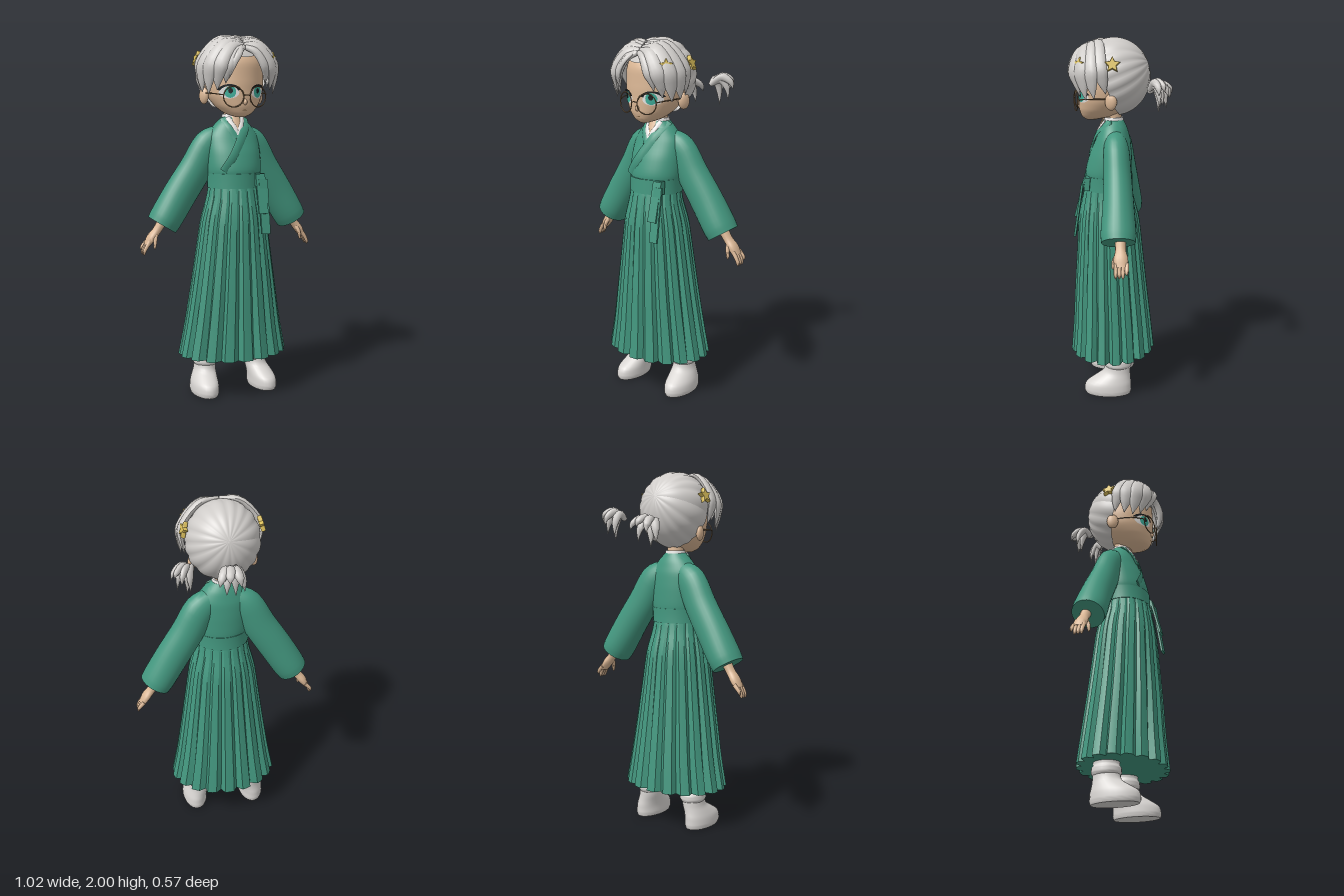
import * as THREE from 'three';
import { toCreasedNormals } from 'three/addons/utils/BufferGeometryUtils.js';

const mat = (name, color) => new THREE.MeshStandardMaterial({ name, color, side: THREE.DoubleSide });
const M = {
  cloth: mat('teal cloth', 0x43977f), hair: mat('silver hair', 0xcfccc9), skin: mat('skin', 0xdcb896),
  boot: mat('pale boot', 0xd8d5d2), white: mat('white', 0xeeecea), gold: mat('gold', 0xdcc05c),
  frame: mat('glasses frame', 0x8f7250), iris: mat('teal iris', 0x3fb09c), dark: mat('dark', 0x1c1f22),
};
const HEAD = new THREE.Vector3(0, 1.78, 0.04);

// Smoothly resample sections [x, y, z, ru, rv]
function resample(secs, n) {
  const pos = new THREE.CatmullRomCurve3(secs.map(s => new THREE.Vector3(s[0], s[1], s[2])));
  const rad = new THREE.CatmullRomCurve3(secs.map(s => new THREE.Vector3(s[3], s[4], 0)));
  return Array.from({ length: n + 1 }, (_, i) => {
    const p = pos.getPoint(i / n), r = rad.getPoint(i / n);
    return { p, ru: Math.max(r.x, 0.0008), rv: Math.max(r.y, 0.0008) };
  });
}

// Skin elliptical rings. 'level' keeps rings horizontal (ru = z, rv = x); otherwise ru follows ref.
function loft(rows, { segs = 24, ref = 'level', shape = () => 1, crease = 0.9 } = {}) {
  const v = [], idx = [], n = rows.length;
  rows.forEach((row, i) => {
    let U = new THREE.Vector3(0, 0, 1), V = new THREE.Vector3(1, 0, 0);
    if (ref !== 'level') {
      const T = rows[Math.min(i + 1, n - 1)].p.clone().sub(rows[Math.max(i - 1, 0)].p).normalize();
      U = ref(row.p).clone();
      U.addScaledVector(T, -U.dot(T)).normalize();
      V = T.clone().cross(U);
    }
    for (let j = 0; j < segs; j++) {
      const a = j / segs * Math.PI * 2, k = shape(j, i / (n - 1));
      const q = row.p.clone().addScaledVector(U, Math.cos(a) * row.ru * k).addScaledVector(V, Math.sin(a) * row.rv * k);
      v.push(q.x, q.y, q.z);
    }
  });
  for (let i = 0; i < n - 1; i++) for (let j = 0; j < segs; j++) {
    const a = i * segs + j, b = i * segs + (j + 1) % segs;
    idx.push(a, b, a + segs, b, b + segs, a + segs);
  }
  const c0 = n * segs, last = (n - 1) * segs;
  v.push(...rows[0].p.toArray(), ...rows[n - 1].p.toArray());
  for (let j = 0; j < segs; j++) {
    const k = (j + 1) % segs;
    idx.push(c0, k, j, c0 + 1, last + j, last + k);
  }
  const g = new THREE.BufferGeometry();
  g.setAttribute('position', new THREE.Float32BufferAttribute(v, 3));
  g.setIndex(idx);
  return toCreasedNormals(g, crease);
}

// Front surface height of a level loft
function frontZ(rows, x, y) {
  let i = 0;
  while (i < rows.length - 2 && rows[i + 1].p.y < y) i++;
  const a = rows[i], b = rows[i + 1], t = THREE.MathUtils.clamp((y - a.p.y) / (b.p.y - a.p.y), 0, 1);
  const mix = (p, q) => p + (q - p) * t;
  return mix(a.p.z, b.p.z) + mix(a.ru, b.ru) * Math.sqrt(Math.max(0, 1 - (x / mix(a.rv, b.rv)) ** 2));
}

export function createModel() {
  const root = new THREE.Group();
  root.name = 'robedFigure';
  const add = (name, geo, material, parent = root) => {
    const m = new THREE.Mesh(geo, material);
    m.name = name;
    parent.add(m);
    return m;
  };
  const level = (name, secs, material, n = 24, opt) => {
    const rows = resample(secs, n);
    add(name, loft(rows, opt), material);
    return rows;
  };
  const tube = (name, secs, material, ref, n = 12, segs = 12, parent = root) =>
    add(name, loft(resample(secs, n), { ref, segs }), material, parent);
  const zAxis = () => new THREE.Vector3(0, 0, 1);
  const outward = p => p.clone().sub(HEAD);

  // Pleated skirt
  const pleat = [0, 0.03, 0.1, 1];
  level('skirt', [[0, 0.225, 0.04, 0.242, 0.315], [0, 0.4, 0.043, 0.225, 0.28], [0, 0.6, 0.05, 0.208, 0.248],
    [0, 0.8, 0.055, 0.19, 0.218], [0, 1.0, 0.06, 0.172, 0.188], [0, 1.12, 0.065, 0.145, 0.155], [0, 1.18, 0.065, 0.132, 0.145]],
  M.cloth, 20, { segs: 72, crease: 0.4, shape: (j, t) => 1 - (0.13 - 0.1 * t) * pleat[(j + 1) % 4] });

  // Jacket, waistband and collar
  const torso = level('jacket', [[0, 1.22, 0.06, 0.125, 0.145], [0, 1.27, 0.06, 0.13, 0.155], [0, 1.36, 0.05, 0.118, 0.155],
    [0, 1.45, 0.036, 0.095, 0.145], [0, 1.51, 0.034, 0.076, 0.105], [0, 1.555, 0.034, 0.055, 0.06]], M.cloth, 24, { segs: 40 });
  level('waistband', [[0, 1.17, 0.063, 0.137, 0.15], [0, 1.21, 0.063, 0.135, 0.15], [0, 1.25, 0.062, 0.134, 0.152]], M.cloth, 4, { segs: 40 });
  level('innerCollar', [[0, 1.52, 0.034, 0.062, 0.068], [0, 1.57, 0.033, 0.052, 0.054]], M.white, 3);
  level('neck', [[0, 1.5, 0.035, 0.045, 0.045], [0, 1.58, 0.035, 0.045, 0.046], [0, 1.66, 0.05, 0.05, 0.05]], M.skin, 4);
  const drape = (name, pts, w, lift, material) => tube(name,
    pts.map(([x, y]) => [x, y, frontZ(torso, x, y) + lift, 0.005, w]), material, zAxis, 10, 8);
  drape('throat', [[0, 1.56], [0, 1.52], [0, 1.475]], 0.022, 0.001, M.skin);
  for (const s of [-1, 1]) drape('collarEdge', [[s * 0.042, 1.555], [s * 0.022, 1.505], [0, 1.455]], 0.014, 0.004, M.white);
  drape('underLapel', [[-0.062, 1.55], [-0.045, 1.505], [-0.015, 1.44]], 0.02, 0.003, M.cloth);
  drape('overLapel', [[0.068, 1.55], [0.045, 1.495], [0, 1.42], [-0.05, 1.34], [-0.1, 1.265]], 0.025, 0.006, M.cloth);

  // Tied ribbon
  const box = (name, w, h, d, x, y, z, tilt) => {
    const m = add(name, new THREE.BoxGeometry(w, h, d), M.cloth);
    m.position.set(x, y, z);
    m.rotation.x = tilt;
  };
  box('ribbonKnot', 0.05, 0.07, 0.03, 0.105, 1.215, 0.17, -0.1);
  box('ribbonShort', 0.055, 0.22, 0.012, 0.105, 1.14, 0.21, -0.24);
  box('ribbonLong', 0.052, 0.3, 0.012, 0.118, 1.07, 0.218, -0.15);

  for (const s of [-1, 1]) {
    // Wide sleeve with a recessed cuff
    tube('sleeve', [[s * 0.05, 1.46, 0.025, 0.055, 0.06], [s * 0.125, 1.405, 0.01, 0.07, 0.088], [s * 0.2, 1.275, -0.002, 0.076, 0.092],
      [s * 0.29, 1.135, -0.012, 0.084, 0.094], [s * 0.37, 1.005, -0.018, 0.094, 0.092], [s * 0.395, 0.965, -0.02, 0.09, 0.088]],
    M.cloth, zAxis, 20, 28);
    // Hand with fingers and thumb
    tube('palm', [[s * 0.385, 0.99, -0.03, 0.03, 0.028], [s * 0.42, 0.935, -0.032, 0.028, 0.024], [s * 0.452, 0.895, -0.036, 0.038, 0.024],
      [s * 0.478, 0.855, -0.04, 0.034, 0.016]], M.skin, zAxis);
    for (let f = 0; f < 4; f++) {
      const z = -0.012 - f * 0.019, d = f === 3 ? 0.02 : 0;
      tube('finger', [[s * 0.467, 0.875, z, 0.011, 0.012], [s * 0.49, 0.84 + d / 2, z, 0.011, 0.011],
        [s * 0.5, 0.815 + d, z, 0.009, 0.009], [s * 0.5, 0.802 + d, z, 0.002, 0.002]], M.skin, zAxis, 8, 8);
    }
    tube('thumb', [[s * 0.43, 0.915, -0.02, 0.014, 0.013], [s * 0.44, 0.88, 0, 0.012, 0.011], [s * 0.445, 0.845, 0.006, 0.008, 0.008],
      [s * 0.445, 0.835, 0.006, 0.002, 0.002]], M.skin, zAxis, 8, 8);
    // Boot and slouched sock
    level('boot', [[s * 0.178, 0, 0.055, 0.128, 0.07], [s * 0.178, 0.02, 0.056, 0.135, 0.075], [s * 0.176, 0.06, 0.052, 0.13, 0.073],
      [s * 0.168, 0.095, 0.03, 0.103, 0.067], [s * 0.158, 0.13, 0.006, 0.077, 0.061], [s * 0.153, 0.175, 0, 0.07, 0.06]], M.boot, 16, { segs: 28 });
    level('sock', [[s * 0.152, 0.15, 0, 0.068, 0.06], [s * 0.152, 0.17, 0, 0.08, 0.071], [s * 0.151, 0.195, 0, 0.079, 0.07],
      [s * 0.15, 0.21, 0, 0.07, 0.062], [s * 0.15, 0.25, 0, 0.072, 0.064]], M.boot, 14);
    // Ear
    const ear = add('ear', new THREE.SphereGeometry(1, 16, 12), M.skin);
    ear.scale.set(0.02, 0.045, 0.034);
    ear.position.set(s * 0.165, 1.67, 0.035);
    ear.rotation.y = s * -0.35;
  }

  // Head
  const head = level('head', [[0, 1.556, 0.155, 0.03, 0.022], [0, 1.575, 0.125, 0.083, 0.07], [0, 1.615, 0.095, 0.127, 0.115],
    [0, 1.67, 0.07, 0.155, 0.148], [0, 1.74, 0.06, 0.166, 0.16], [0, 1.83, 0.055, 0.168, 0.16], [0, 1.91, 0.05, 0.135, 0.13],
    [0, 1.955, 0.045, 0.06, 0.06]], M.skin, 32, { segs: 48, crease: 1.2 });
  const nose = add('nose', new THREE.SphereGeometry(1, 12, 8), M.skin);
  nose.scale.set(0.011, 0.016, 0.015);
  nose.position.set(0, 1.637, 0.222);

  // Painted features laid on the face
  const patch = (name, x, y, rx, ry, lift, material, inner = 0.01, start = 0, len = Math.PI * 2) => {
    const g = new THREE.RingGeometry(inner, 1, 24, 4, start, len), p = g.attributes.position;
    for (let i = 0; i < p.count; i++) {
      const px = x + p.getX(i) * rx, py = y + p.getY(i) * ry;
      p.setXYZ(i, px, py, frontZ(head, px, py) + lift);
    }
    g.computeVertexNormals();
    add(name, g, material);
  };
  patch('mouth', 0, 1.594, 0.014, 0.0025, 0.002, M.frame);
  for (const s of [-1, 1]) {
    patch('eyeWhite', s * 0.08, 1.688, 0.046, 0.032, 0.002, M.white);
    patch('iris', s * 0.078, 1.69, 0.027, 0.031, 0.004, M.iris);
    patch('pupil', s * 0.078, 1.696, 0.011, 0.014, 0.006, M.dark);
    patch('lash', s * 0.083, 1.69, 0.054, 0.041, 0.007, M.dark, 0.76, 0.25, Math.PI - 0.5);
    // Round glasses
    const rim = add('glassesRim', new THREE.TorusGeometry(0.054, 0.0032, 8, 36), M.frame);
    rim.position.set(s * 0.07, 1.665, 0.232);
    rim.rotation.y = s * 0.3;
    tube('glassesArm', [[s * 0.122, 1.675, 0.215, 0.003, 0.003], [s * 0.152, 1.682, 0.15, 0.003, 0.003],
      [s * 0.165, 1.685, 0.05, 0.003, 0.003]], M.frame, () => new THREE.Vector3(0, 1, 0), 8, 6);
  }
  tube('glassesBridge', [[-0.018, 1.67, 0.247, 0.003, 0.003], [0, 1.675, 0.25, 0.003, 0.003], [0.018, 1.67, 0.247, 0.003, 0.003]], M.frame, zAxis, 6, 6);

  // Hair caps with strand ridges running away from the pole
  const cap = (name, centre, radii, tilt, theta, ridge) => {
    const g = new THREE.SphereGeometry(1, 96, 28, 0, Math.PI * 2, 0, theta), p = g.attributes.position;
    for (let i = 0; i < p.count; i++) {
      const a = Math.atan2(p.getZ(i), p.getX(i)), r = Math.hypot(p.getX(i), p.getZ(i));
      const k = 1 - ridge * r * (1 - Math.abs(Math.sin(a * 8 + 0.6 * Math.sin(a * 3))));
      p.setXYZ(i, p.getX(i) * k, p.getY(i) * k, p.getZ(i) * k);
    }
    g.rotateX(tilt).scale(...radii).translate(...centre);
    g.computeVertexNormals();
    add(name, g, M.hair);
  };
  cap('backHair', [0, 1.79, 0.03], [0.2, 0.21, 0.198], -1.2, 1.78, 0.035);
  cap('crownHair', [0, 1.78, 0.05], [0.205, 0.213, 0.19], 0.5, 0.62, 0);

  // Fringe locks swept from the centre parting: [mid point, lower point, tip, width]
  const locks = [
    [[0.055, 1.9, 0.235], [0.098, 1.83, 0.25], [0.112, 1.735, 0.225], 0.03],
    [[0.075, 1.925, 0.215], [0.145, 1.83, 0.235], [0.15, 1.7, 0.2], 0.042],
    [[0.09, 1.945, 0.185], [0.182, 1.835, 0.195], [0.185, 1.68, 0.165], 0.046],
    [[0.105, 1.955, 0.15], [0.205, 1.835, 0.145], [0.205, 1.69, 0.12], 0.046],
    [[0.11, 1.965, 0.11], [0.207, 1.845, 0.09], [0.195, 1.715, 0.06], 0.04],
  ];
  for (const s of [-1, 1]) locks.forEach(([a, b, c, w], i) => {
    const at = (p, t, k) => [s * p[0], p[1], p[2], t, k];
    tube('fringeLock', [[s * 0.004, 1.925 + i * 0.012, 0.21 - i * 0.018, 0.012, 0.014], at(a, 0.018, w * 0.85), at(b, 0.02, w),
      [s * (b[0] * 0.45 + c[0] * 0.55 + 0.006), (b[1] + c[1]) / 2, (b[2] + c[2]) / 2, 0.014, w * 0.72], at(c, 0.002, 0.002)],
    M.hair, outward, 18, 12);
  });
  tube('strayLock', [[-0.02, 1.93, 0.215, 0.008, 0.01], [-0.05, 1.89, 0.26, 0.009, 0.018], [-0.085, 1.83, 0.265, 0.008, 0.016],
    [-0.1, 1.76, 0.245, 0.001, 0.001]], M.hair, outward);

  // Spiky ponytail, plus a loose tuft floating to one side
  const tips = [[-0.06, -0.085, -0.06], [-0.02, -0.11, -0.05], [0.03, -0.08, -0.09], [0.065, -0.02, -0.11], [-0.035, -0.03, -0.11], [0.02, 0.0, -0.12]];
  const tail = (name, x, y, z, turn, sx) => {
    const g = new THREE.Group();
    g.name = name;
    g.position.set(x, y, z);
    g.rotation.y = turn;
    g.scale.x = sx;
    root.add(g);
    tips.forEach(([tx, ty, tz]) => tube('tailLock', [[0, 0, 0.005, 0.012, 0.014], [tx * 0.5, 0.045 + ty * 0.2, tz * 0.5, 0.022, 0.027],
      [tx * 0.95, 0.025 + ty * 0.5, tz * 0.9, 0.016, 0.021], [tx * 1.1, ty, tz, 0.001, 0.001]], M.hair,
    p => p.clone().sub(new THREE.Vector3(0, -0.08, 0.03)), 12, 10, g));
  };
  tail('ponytail', 0, 1.705, -0.165, 0, 1);
  tail('looseTuft', 0.2, 1.74, -0.17, -0.75, 0.6);

  // Star hairpins
  const star = new THREE.Shape(Array.from({ length: 10 }, (_, i) => {
    const r = i % 2 ? 0.019 : 0.04, a = Math.PI / 2 + i * Math.PI / 5;
    return new THREE.Vector2(Math.cos(a) * r, Math.sin(a) * r);
  }));
  const starGeo = new THREE.ExtrudeGeometry(star, { depth: 0.014, bevelThickness: 0.005, bevelSize: 0.003, bevelSegments: 1 });
  for (const [x, y, z, k] of [[0.195, 1.865, 0.025, 1], [-0.195, 1.865, 0.025, 1], [0.168, 1.865, 0.195, 0.85]]) {
    const m = add('starPin', starGeo, M.gold);
    m.position.set(x, y, z);
    m.scale.setScalar(k);
    m.lookAt(x * 3, y + 0.12, z * 3 - 0.08);
  }
  return root;
}
